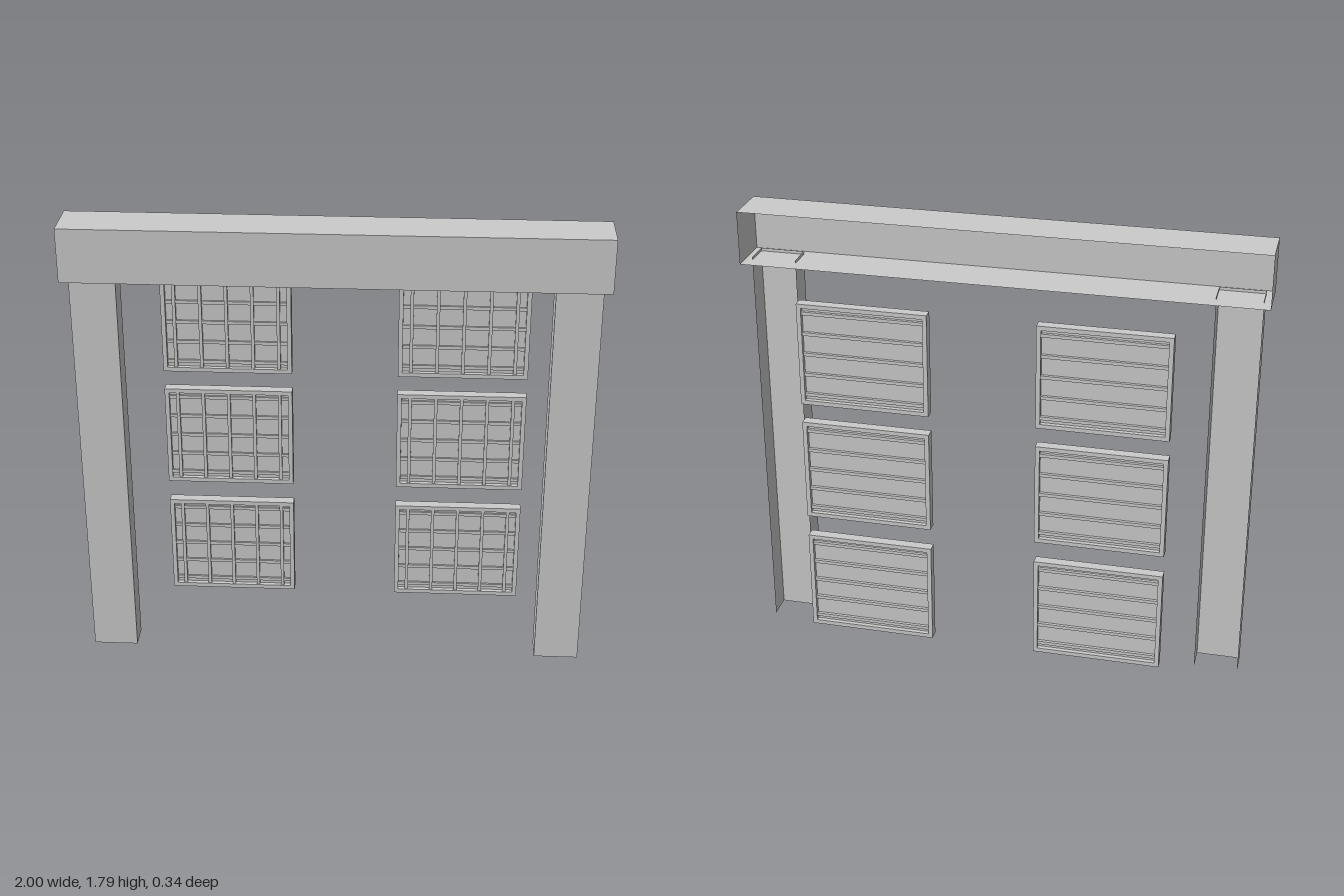
import * as THREE from 'three';

const solid = new THREE.MeshStandardMaterial({ color: 0xcccccc });
const thin = new THREE.MeshStandardMaterial({ color: 0xcccccc, side: THREE.DoubleSide });

function box(parent, name, w, h, d, x, y, z) {
  const m = new THREE.Mesh(new THREE.BoxGeometry(w, h, d), solid);
  m.name = name;
  m.position.set(x, y, z);
  parent.add(m);
}

// Thin sheet facing along z, turned by rx / ry
function sheet(parent, name, w, h, x, y, z, rx = 0, ry = 0) {
  const m = new THREE.Mesh(new THREE.PlaneGeometry(w, h), thin);
  m.name = name;
  m.position.set(x, y, z);
  m.rotation.set(rx, ry, 0);
  parent.add(m);
}

// Post: channel of three sheets, open at the back
function createPost(x) {
  const g = new THREE.Group();
  g.name = 'post';
  const w = 0.172, h = 1.595, z0 = 0.037, z1 = 0.137;
  sheet(g, 'postFront', w, h, 0, h / 2, z1);
  for (const s of [-1, 1])
    sheet(g, 'postSide', z1 - z0, h, s * w / 2, h / 2, (z0 + z1) / 2, 0, s * Math.PI / 2);
  g.position.x = x;
  return g;
}

// Header: long trough, open at the back
function createHeader() {
  const g = new THREE.Group();
  g.name = 'header';
  const y0 = 1.583, y1 = 1.79, z0 = -0.018, z1 = 0.169;
  const h = y1 - y0, d = z1 - z0, ym = (y0 + y1) / 2, zm = (z0 + z1) / 2;
  sheet(g, 'headerFront', 2, h, 0, ym, z1);
  sheet(g, 'headerTop', 2, d, 0, y1, zm, -Math.PI / 2);
  sheet(g, 'headerBottom', 2, d, 0, y0, zm, Math.PI / 2);
  for (const s of [-1, 1]) sheet(g, 'headerEnd', d, h, s, ym, zm, 0, s * Math.PI / 2);
  return g;
}

// Panel: framed sheet, grid of bars in front, horizontal slats behind
function createPanel(x, y) {
  const g = new THREE.Group();
  g.name = 'panel';
  const w = 0.5, h = 0.41, d = 0.042, f = 0.017, bar = 0.013;
  const iw = w - 2 * f, ih = h - 2 * f;
  box(g, 'panelSheet', iw, ih, 0.006, 0, 0, 0);
  for (const s of [-1, 1]) {
    box(g, 'frameRail', w, f, d, 0, s * (h - f) / 2, 0);
    box(g, 'frameStile', f, ih, d, s * (w - f) / 2, 0, 0);
  }
  for (let i = -2; i <= 2; i++) {
    box(g, 'verticalBar', bar, ih, 0.014, i * 0.1, 0, 0.01);
    box(g, 'horizontalBar', iw, bar, 0.026, 0, i * 0.083, -0.002);
  }
  g.position.set(x, y, -0.148);
  return g;
}

export function createModel() {
  const model = new THREE.Group();
  model.name = 'gateFrame';
  model.add(createHeader());
  for (const s of [-1, 1]) model.add(createPost(s * 0.884));
  for (const x of [-0.43, 0.48])
    for (const y of [0.318, 0.815, 1.302]) model.add(createPanel(x, y));
  return model;
}
